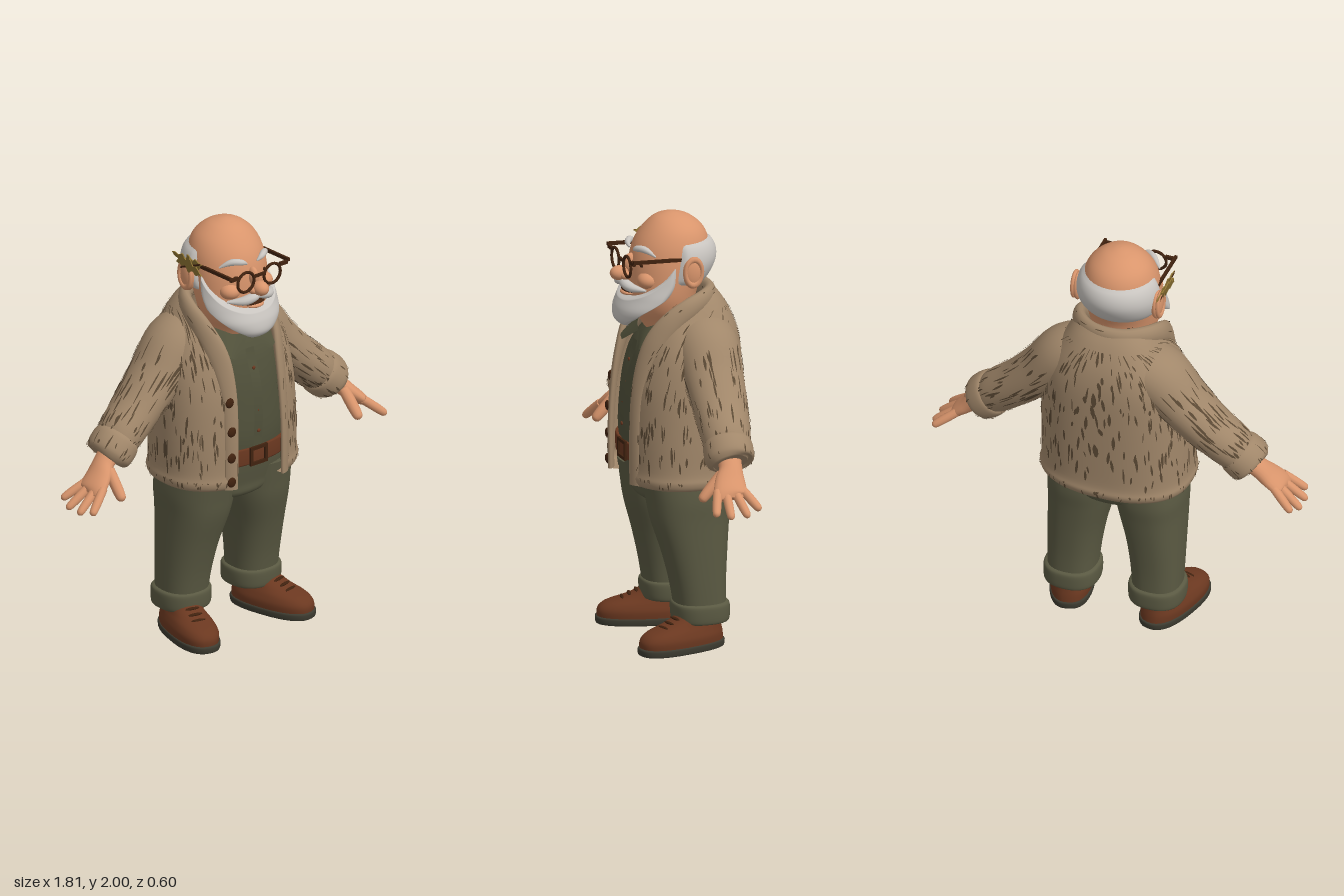
import * as THREE from 'three';
import { mergeGeometries } from 'three/addons/utils/BufferGeometryUtils.js';

const V = (x, y, z) => new THREE.Vector3(x, y, z);
const clamp = THREE.MathUtils.clamp;
const mat = (name, color, side = THREE.FrontSide) => {
  const m = new THREE.MeshStandardMaterial({ color, side });
  m.name = name;
  return m;
};

// Smooth interpolation through rows of numbers, v from 0 to 1
const interp = rows => v => {
  const n = rows.length, s = clamp(v, 0, 1) * (n - 1), i = Math.min(Math.floor(s), n - 2), f = s - i;
  const [a, b, c, d] = [i - 1, i, i + 1, i + 2].map(k => rows[clamp(k, 0, n - 1)]);
  return b.map((q, k) => 0.5 * (2 * q + (c[k] - a[k]) * f + (2 * a[k] - 5 * q + 4 * c[k] - d[k]) * f * f
    + (3 * q - a[k] - 3 * c[k] + d[k]) * f * f * f));
};
const vAt = (rows, y) => {
  let i = 0;
  while (i < rows.length - 2 && rows[i + 1][0] < y) i++;
  return (i + (y - rows[i][0]) / (rows[i + 1][0] - rows[i][0])) / (rows.length - 1);
};
const oval = (t, r, p, k = 1) => {
  const e = q => Math.sign(q) * Math.abs(q) ** (2 / p);
  const rx = Math.max(r[1], 0.001), rz = Math.max((r[2] - r[3]) / 2, 0.001);
  return V((r[5] || 0) + k * rx * e(Math.sin(t)), r[0], (r[2] + r[3]) / 2 + k * rz * e(Math.cos(t)));
};
// Upright form, rows [y, halfWidth, zFront, zBack, frontGapAngle, xCentre]
const body = (rows, p = 2) => {
  const f = interp(rows);
  return (u, v) => { const r = f(v), g = r[4] || 0; return oval(g + u * 2 * (Math.PI - g), r, p); };
};
// Form along a path, rows [x, y, z, width, depth]
const limb = (rows, ref = () => V(0, 0, 1)) => {
  const f = interp(rows);
  return (u, v) => {
    const r = f(v), c = V(r[0], r[1], r[2]);
    const t = V(...f(v + 0.01).slice(0, 3)).sub(V(...f(v - 0.01).slice(0, 3))).normalize();
    const b = ref(c);
    b.addScaledVector(t, -b.dot(t)).normalize();
    const n = b.clone().cross(t), a = u * Math.PI * 2;
    return c.addScaledVector(n, Math.max(r[3], 0.001) * Math.cos(a)).addScaledVector(b, Math.max(r[4], 0.001) * Math.sin(a));
  };
};
// Skin over a surface function; wrapped skins get end caps
function skin(fn, nu, nv, wrap = true) {
  const pos = [], idx = [], cols = wrap ? nu : nu + 1;
  for (let j = 0; j <= nv; j++) for (let i = 0; i < cols; i++) pos.push(...fn(i / nu, j / nv).toArray());
  for (let j = 0; j < nv; j++) for (let i = 0; i < nu; i++) {
    const a = j * cols + i, b = j * cols + (i + 1) % cols;
    idx.push(a, b, a + cols, b, b + cols, a + cols);
  }
  if (wrap) for (const v of [0, 1]) {
    const start = pos.length / 3, mid = V(0, 0, 0);
    for (let i = 0; i < nu; i++) { const q = fn(i / nu, v); pos.push(...q.toArray()); mid.addScaledVector(q, 1 / nu); }
    pos.push(...mid.toArray());
    for (let i = 0; i < nu; i++) {
      const a = start + i, b = start + (i + 1) % nu;
      idx.push(...(v ? [a, b, start + nu] : [b, a, start + nu]));
    }
  }
  const g = new THREE.BufferGeometry();
  g.setAttribute('position', new THREE.Float32BufferAttribute(pos, 3));
  g.setIndex(idx);
  g.computeVertexNormals();
  return g;
}
const ball = (x, y, z, sx, sy, sz) => new THREE.SphereGeometry(1, 20, 14).scale(sx, sy, sz).translate(x, y, z);
const finger = (s, a, b, r) => skin(limb([[0, 1], [0.5, 1.02], [0.85, 0.9], [0.96, 0.6], [1, 0.1]].map(([k, q]) => {
  const p = V(...a).lerp(V(...b), k);
  return [s * p.x, p.y, p.z, r * q, r * q];
})), 12, 12);

let seed = 7;
const rnd = () => (seed = (seed * 16807) % 2147483647) / 2147483647;
// Thin dark dashes lying just above a surface
function dashes(fn, count, len, wid, v0, v1) {
  const parts = [];
  for (let k = 0; k < count; k++) {
    const u = 0.02 + rnd() * 0.96, v = v0 + rnd() * (v1 - v0), l = len * (0.4 + rnd()), w = wid * (0.5 + rnd()), skew = (rnd() - 0.5) * wid * 2;
    parts.push(skin((a, b) => {
      const uu = u + skew * b + (a - 0.5) * w * (0.35 + Math.sin(Math.PI * b)), vv = Math.min(v + l * b, v1 + 0.01);
      const p = fn(uu, vv), du = fn(uu + 0.002, vv).sub(p), dv = fn(uu, vv + 0.004).sub(p);
      return p.addScaledVector(du.cross(dv).normalize(), 0.004);
    }, 1, 3, false));
  }
  return mergeGeometries(parts);
}

export function createModel() {
  const root = new THREE.Group();
  root.name = 'oldMan';
  const M = {
    skin: mat('skin', 0xd9956c), hair: mat('hair', 0xc8c4bf), knit: mat('knit', 0xa1876a, THREE.DoubleSide),
    dark: mat('knitShade', 0x5c4a35, THREE.DoubleSide), shirt: mat('shirt', 0x50503a, THREE.DoubleSide),
    trousers: mat('trousers', 0x5a5942), leather: mat('leather', 0x6b3820), frame: mat('darkBrown', 0x40220f),
    sole: mat('sole', 0x3d3b30), gold: mat('leaf', 0x8f7434, THREE.DoubleSide),
  };
  const add = (name, geo, m, parent = root) => {
    const o = new THREE.Mesh(geo, m);
    o.name = name;
    parent.add(o);
    return o;
  };

  // Head and neck
  const headRows = [[1.42, .11, .1, -.12], [1.5, .12, .15, -.11], [1.56, .15, .19, -.1], [1.63, .172, .205, -.105], [1.72, .18, .205, -.14],
    [1.8, .178, .197, -.165], [1.87, .166, .175, -.165], [1.93, .137, .135, -.138], [1.975, .086, .088, -.085], [1.995, .035, .04, -.03], [2, .002, .007, .003]];
  const headF = interp(headRows);
  add('head', skin(body(headRows), 40, 44), M.skin);
  // Horseshoe of hair
  add('hair', skin((u, v) => {
    const t = 1.5 + u * (2 * Math.PI - 3), back = Math.sin(Math.PI * u);
    const y = 1.665 + 0.22 * v + 0.03 * (1 - back) * (1 - v);
    const k = 0.96 + (0.15 + 0.1 * back) * Math.max(Math.sin(Math.PI * v), 0) ** 0.5 * Math.min(1, back * 8);
    return oval(t, headF(vAt(headRows, y)), 2, k);
  }, 40, 14, false), M.hair);
  // Beard
  const beardRows = [[1.475, .03, .19, .13], [1.49, .09, .245, .06], [1.52, .137, .275, 0], [1.57, .18, .272, -.03],
    [1.63, .198, .247, -.1], [1.7, .197, .227, -.17], [1.81, .186, .2, -.165]];
  const beardF = interp(beardRows);
  add('beard', skin((u, v) => {
    const t = (u - 0.5) * 3, q = Math.abs(t) / 1.5;
    const y = THREE.MathUtils.lerp(1.476 + 0.17 * q * q, 1.632 + 0.17 * q ** 2.4, v);
    const edge = Math.max(0, 1 - v / 0.06, 1 - (1 - v) / 0.1, (q - 0.93) / 0.07);
    return oval(t, beardF(vAt(beardRows, y)), 2.1, 1 - 0.14 * edge);
  }, 48, 30, false), M.hair);
  // Face
  add('nose', mergeGeometries([ball(0, 1.732, .255, .036, .034, .044), ball(0, 1.775, .2, .022, .045, .035),
    ball(.028, 1.725, .235, .02, .02, .025), ball(-.028, 1.725, .235, .02, .02, .025)]), M.skin);
  add('mouth', ball(0, 1.652, .205, .06, .012, .035), M.frame);
  add('lowerLip', ball(0, 1.64, .218, .045, .013, .03), M.skin);
  for (const s of [1, -1]) {
    add('cheek', ball(s * .095, 1.712, .152, .05, .04, .05), M.skin);
    add('ear', ball(s * .192, 1.755, -.03, .024, .074, .048), M.skin);
    add('earRim', new THREE.TorusGeometry(.04, .01, 8, 20).scale(1, 1.5, 1).rotateY(Math.PI / 2).translate(s * .208, 1.76, -.03), M.skin);
    add('eye', ball(s * .078, 1.778, .172, .016, .011, .012), M.frame);
    add('eyebrow', skin(limb([[s * .03, 1.84, .195, .004, .004], [s * .06, 1.855, .192, .014, .014], [s * .1, 1.856, .165, .015, .015], [s * .14, 1.83, .13, .004, .004]]), 10, 14), M.hair);
    add('moustache', skin(limb([[0, 1.69, .232, .012, .015], [s * .03, 1.69, .24, .021, .024], [s * .075, 1.677, .222, .02, .024], [s * .13, 1.672, .175, .005, .008]]), 12, 16), M.hair);
    // Glasses
    add('rim', new THREE.TorusGeometry(.048, .007, 8, 32).translate(s * .078, 1.78, .245), M.frame);
    add('hinge', new THREE.BoxGeometry(.045, .016, .014).translate(s * .146, 1.812, .243), M.frame);
    add('temple', new THREE.BoxGeometry(.012, .016, .27).translate(s * .172, 0, 0).rotateX(-.03).translate(0, 1.818, .115), M.frame);
  }
  add('bridge', new THREE.BoxGeometry(.06, .012, .012).translate(0, 1.795, .245), M.frame);

  // Lobed leaf sprig behind the right ear
  const edge = [];
  for (let i = 0; i <= 20; i++) { const s = i / 20; edge.push([s * .2 - .1, Math.sin(Math.PI * s) * .034 * (1 + .45 * Math.sin(s * 25))]); }
  const outline = [...edge, ...edge.slice(1, -1).reverse().map(([x, y]) => [x, -y])].map(p => new THREE.Vector2(...p));
  for (const [rise, out] of [[.25, 0], [-.35, .012]])
    add('leaf', new THREE.ExtrudeGeometry(new THREE.Shape(outline), { depth: .005, bevelEnabled: false })
      .rotateZ(rise).rotateY(-Math.PI / 2).rotateZ(.25).translate(-.214 - out, 1.835, .01), M.gold);
  add('twig', finger(-1, [.21, 1.79, -.06], [.225, 1.86, .1], .005), M.frame);

  // Shirt, collar and belt
  add('shirt', skin(body([[.85, .27, .215, -.2], [1, .28, .232, -.22], [1.2, .27, .218, -.22], [1.32, .25, .195, -.2], [1.4, .2, .168, -.17], [1.47, .14, .125, -.13]], 2.3), 40, 24), M.shirt);
  add('shirtPlacket', skin((u, v) => V((u - .5) * .05, .94 + v * .47, .007 + interp([[.228], [.235], [.221], [.17]])(v)[0]), 2, 12, false), M.shirt);
  for (let i = 0; i < 4; i++) add('shirtButton', ball(0, 1.02 + i * .1, [.243, .237, .228, .208][i], .009, .009, .005), M.leather);
  for (const s of [1, -1]) add('shirtCollar', skin((u, v) => {
    const a = V(s * .005, 1.45, .16).lerp(V(s * .1, 1.385, .205), u), b = V(s * .16, 1.53, .05).lerp(V(s * .18, 1.43, .13), u);
    return a.lerp(b, v).add(V(0, 0, .025 * Math.sin(Math.PI * v)));
  }, 6, 8, false), M.shirt);
  add('belt', skin(body([[.862, .285, .232, -.2], [.866, .29, .238, -.2], [.936, .29, .24, -.2], [.94, .285, .234, -.2]], 2.4), 40, 6), M.leather);
  const buckle = new THREE.Shape([[-.05, -.045], [.05, -.045], [.05, .045], [-.05, .045]].map(p => new THREE.Vector2(...p)));
  buckle.holes.push(new THREE.Path([[-.035, -.03], [-.035, .03], [.035, .03], [.035, -.03]].map(p => new THREE.Vector2(...p))));
  add('buckle', new THREE.ExtrudeGeometry(buckle, { depth: .012, bevelEnabled: false }).translate(0, .9, .236), M.frame);

  // Open cardigan
  const coat = [[.764, .3, .22, -.24, .4], [.768, .345, .25, -.275, .36], [.8, .36, .262, -.293, .34], [.85, .353, .256, -.286, .33], [1, .352, .254, -.29, .33],
    [1.2, .345, .24, -.296, .32], [1.35, .328, .205, -.296, .37], [1.45, .29, .17, -.283, .52], [1.53, .24, .13, -.257, .82], [1.6, .19, .08, -.22, 1.45], [1.65, .14, .03, -.178, 1.8]];
  const coatF = body(coat, 2.4), byHeight = (u, k) => coatF(u, vAt(coat, .77 + k * .85));
  add('cardigan', skin(coatF, 56, 50, false), M.knit);
  add('cardiganStreaks', dashes(byHeight, 400, .075, .0045, .08, .93), M.dark);
  add('hemRibs', dashes(byHeight, 70, .03, .003, .01, .05), M.dark);
  const half = [[.16, .77, .235, .034, .013], [.158, 1, .236, .034, .014], [.155, 1.2, .222, .036, .016], [.165, 1.35, .187, .045, .02], [.182, 1.45, .14, .052, .024],
    [.196, 1.53, .07, .052, .028], [.193, 1.585, -.015, .05, .03], [.155, 1.61, -.095, .048, .03], [.085, 1.617, -.15, .046, .03]];
  const band = limb([...half, [0, 1.618, -.168, .046, .03], ...half.slice().reverse().map(([x, ...r]) => [-x, ...r])], c => V(c.x, 0, c.z + .03));
  add('shawlCollar', skin(band, 16, 100), M.knit);
  add('collarStreaks', dashes(band, 60, .02, .015, .02, .97), M.dark);
  [.81, .93, 1.06, 1.2].forEach((y, i) => add('cardiganButton', ball(-.165, y, .25 - (i === 3 ? .014 : 0), .024, .024, .01), M.frame));

  // Trousers seat
  add('trouserSeat', skin(body([[.64, .06, .08, -.12], [.68, .2, .165, -.19], [.74, .3, .18, -.215], [.82, .315, .2, -.215], [.89, .28, .215, -.2]], 2.3), 40, 20), M.trousers);

  for (const s of [1, -1]) {
    const side = new THREE.Group();
    side.name = s > 0 ? 'leftLimbs' : 'rightLimbs';
    root.add(side);
    const flip = rows => rows.map(([x, ...r]) => [s * x, ...r]);
    // Sleeve
    const sleeve = limb(flip([[.1, 1.46, -.08, .11, .15], [.22, 1.4, -.085, .14, .152], [.34, 1.28, -.08, .118, .138], [.46, 1.165, -.07, .105, .125],
      [.56, 1.08, -.055, .102, .113], [.6, 1.045, -.048, .092, .105]]));
    add('sleeve', skin(sleeve, 32, 30), M.knit, side);
    add('sleeveStreaks', dashes(sleeve, 130, .12, .009, .25, .97), M.dark, side);
    const cuff = limb(flip([[.585, 1.058, -.05, .09, .1], [.6, 1.045, -.048, .106, .113], [.635, 1.013, -.043, .108, .115], [.66, .99, -.04, .098, .108], [.666, .984, -.04, .07, .08]]));
    add('sleeveCuff', skin(cuff, 32, 16), M.knit, side);
    add('cuffRibs', dashes(cuff, 24, .3, .008, .3, .75), M.dark, side);
    // Hand
    add('palm', skin(limb(flip([[.63, 1.015, -.04, .05, .058], [.69, .965, -.03, .042, .054], [.735, .92, -.012, .037, .07], [.785, .875, .003, .03, .078], [.805, .857, .003, .012, .06]])), 20, 20), M.skin, side);
    [[.062, .105, .872, .8], [.023, .04, .897, .788], [-.017, -.04, .9, .79], [-.055, -.105, .877, .812]].forEach(([z0, z1, x, y]) =>
      add('finger', finger(s, [.77, .888, z0], [x, y, z1], .0205), M.skin, side));
    add('thumb', finger(s, [.695, .945, .015], [.702, .828, .12], .026), M.skin, side);
    // Leg
    const shift = rows => rows.map(([y, rx, f, b, cx]) => [y, rx, f, b, 0, s * cx]);
    add('trouserLeg', skin(body(shift([[.16, .112, .055, -.175, .207], [.3, .119, .078, -.175, .203], [.45, .131, .115, -.185, .192], [.6, .15, .16, -.2, .173],
      [.7, .16, .178, -.213, .165], [.8, .155, .195, -.21, .16]]), 2.4), 32, 26), M.trousers, side);
    add('trouserCuff', skin(body(shift([[.122, .115, .055, -.175, .207], [.13, .127, .068, -.188, .207], [.165, .131, .073, -.191, .207], [.205, .129, .073, -.189, .207], [.215, .116, .06, -.175, .207]]), 2.4), 32, 16), M.trousers, side);
    // Shoe
    const shoe = new THREE.Group();
    shoe.name = 'shoe';
    shoe.position.set(s * .248, 0, .046);
    shoe.rotation.y = s * .25;
    side.add(shoe);
    add('shoeSole', skin(body([[0, .096, .215, -.213], [.004, .101, .22, -.218], [.028, .103, .222, -.22], [.034, .098, .215, -.215]], 2.5), 36, 8), M.sole, shoe);
    add('shoeUpper', skin(body([[.03, .098, .214, -.213], [.065, .1, .212, -.21], [.095, .09, .18, -.205], [.12, .078, .1, -.2], [.145, .07, .04, -.19], [.17, .06, .01, -.18]], 2.4), 36, 20), M.leather, shoe);
    for (let i = 0; i < 3; i++) add('shoelace', ball(0, .15 - i * .016, .035 + i * .032, .036, .006, .009), M.frame, shoe);
  }
  return root;
}
